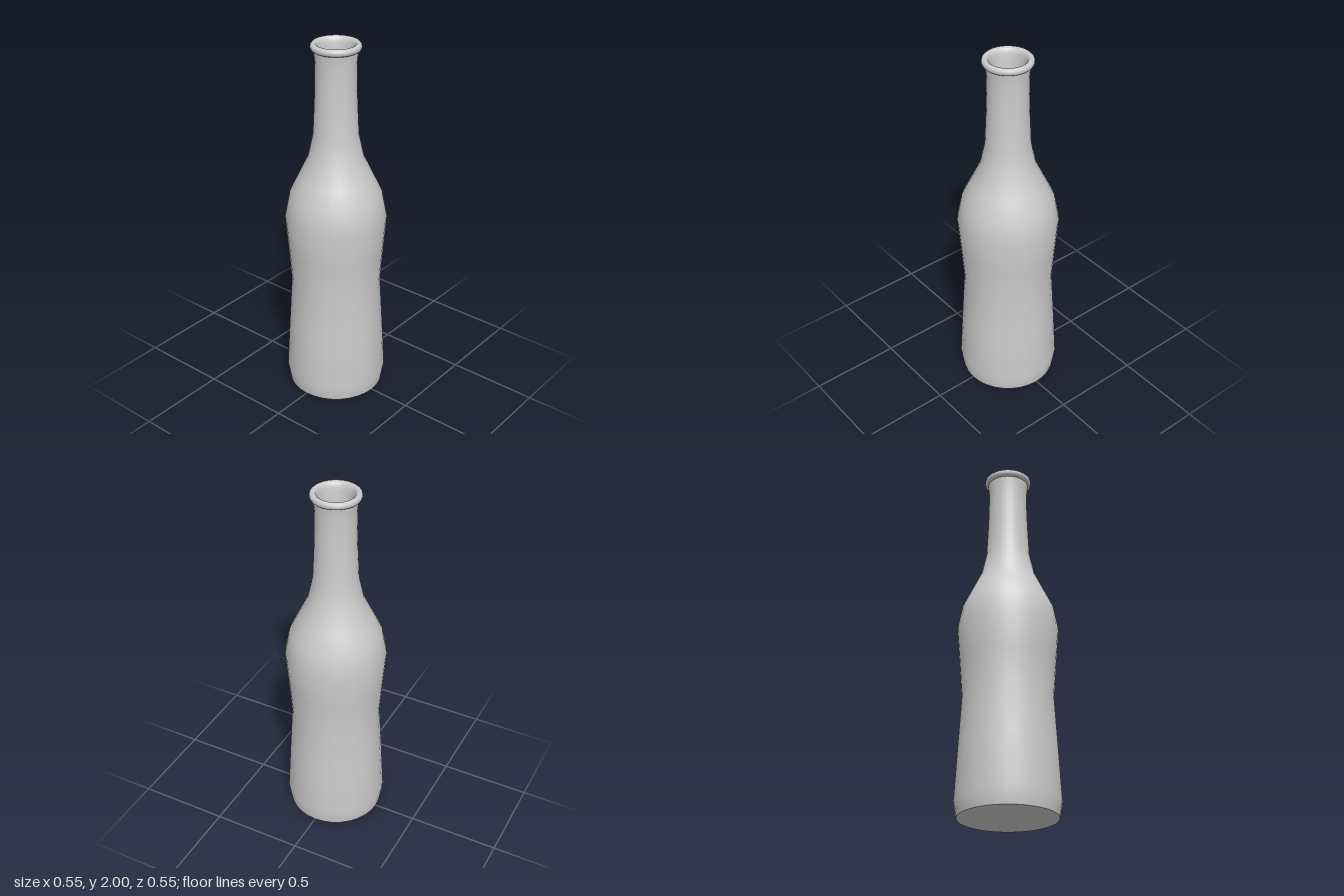
import * as THREE from 'three';

const SEGMENTS = 32;
const WALL = 0.022;

export function createModel() {
  const group = new THREE.Group();
  group.name = 'bottle';
  const material = new THREE.MeshStandardMaterial({ color: 0xcccccc });

  function addLathe(name, profile) {
    const points = profile.map(([r, y]) => new THREE.Vector2(r, y));
    const mesh = new THREE.Mesh(new THREE.LatheGeometry(points, SEGMENTS), material);
    mesh.name = name;
    group.add(mesh);
  }

  // Outer silhouette [radius, height] from the foot to the top of the neck
  const body = [
    [0.262, 0], [0.277, 0.09], [0.261, 0.37], [0.244, 0.65], [0.258, 0.84],
    [0.274, 1.04], [0.248, 1.17], [0.2, 1.27], [0.148, 1.38], [0.12, 1.51],
    [0.112, 1.68], [0.108, 1.8], [0.108, 1.9], [0.114, 1.96],
  ];

  // Flat underside
  addLathe('base', [[0, 0], [0.262, 0]]);

  // Waisted body, shoulder and neck
  addLathe('body', body);

  // Rounded lip that rolls over into the mouth
  addLathe('lip', [
    [0.114, 1.96], [0.127, 1.967], [0.132, 1.979], [0.13, 1.992], [0.121, 2],
    [0.11, 2], [0.1, 1.993], [0.094, 1.975], [0.09, 1.95], [0.086, 1.9],
  ]);

  // Inner wall follows the outside at a constant thickness, from neck to floor
  const inner = body.slice(1, -1).map(([r, y]) => [r - WALL, y]).reverse();
  addLathe('innerWall', [...inner, [0.24, 0.02]]);
  addLathe('innerFloor', [[0.24, 0.02], [0, 0.02]]);

  return group;
}
